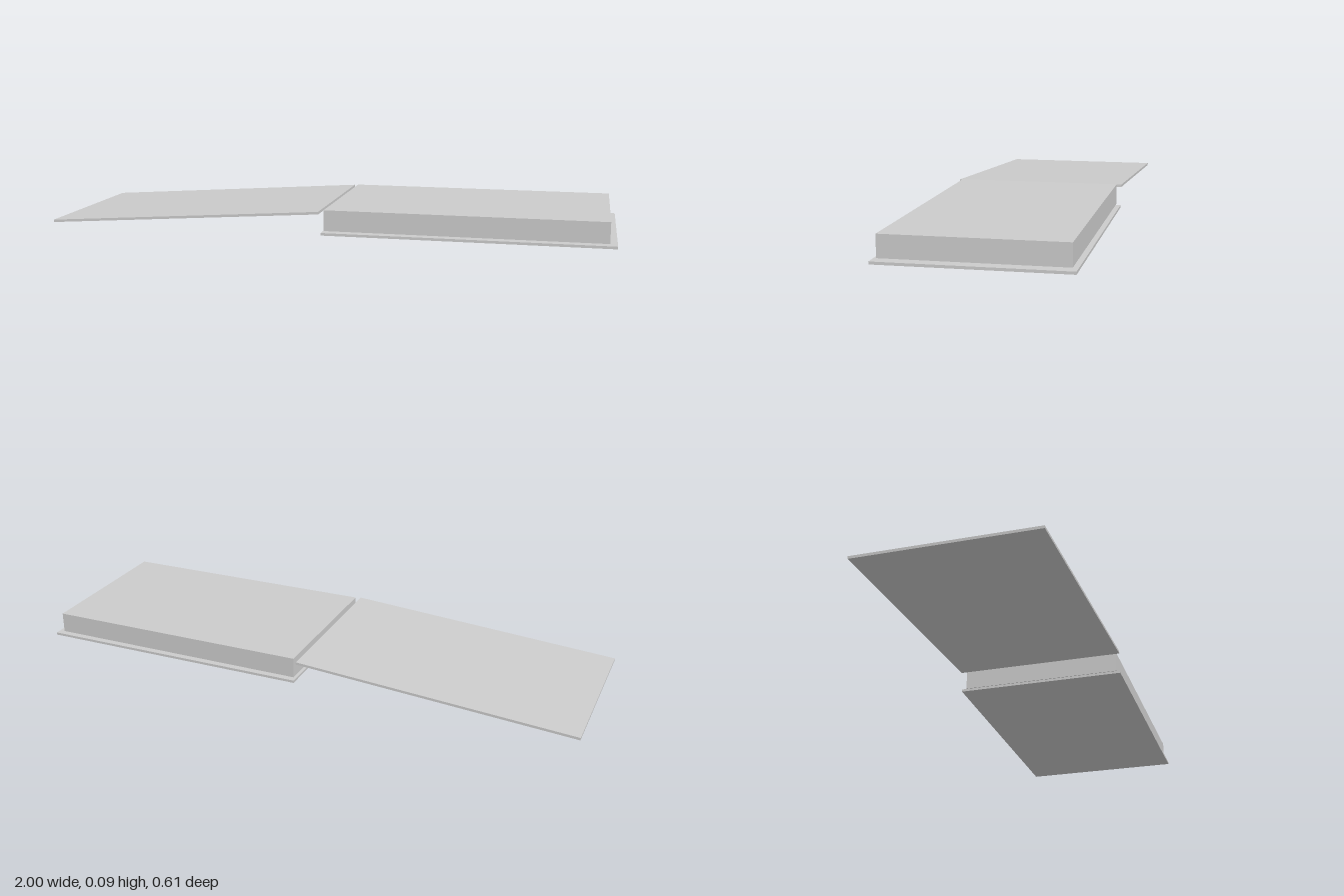
import * as THREE from 'three';

export function createModel() {
  const book = new THREE.Group();
  book.name = 'openBook';
  const material = new THREE.MeshStandardMaterial({ color: 0xcccccc, flatShading: true });

  function slab(name, length, height, width, x, y, tilt = 0) {
    const mesh = new THREE.Mesh(new THREE.BoxGeometry(length, height, width), material);
    mesh.name = name;
    mesh.position.set(x, y, 0);
    mesh.rotation.z = tilt;
    book.add(mesh);
  }

  const coverLength = 0.997, coverThickness = 0.009, coverWidth = 0.61;

  // Back cover lies flat under the pages
  slab('backCover', coverLength, coverThickness, coverWidth, 1 - coverLength / 2, coverThickness / 2);

  // Page block hovers just above the back cover
  slab('pageBlock', 0.965, 0.073, 0.58, 0.4925, 0.05);

  // Opened front cover slopes down from the top of the pages
  slab('frontCover', coverLength, coverThickness, coverWidth, -0.503, 0.0435, 0.07);

  return book;
}
